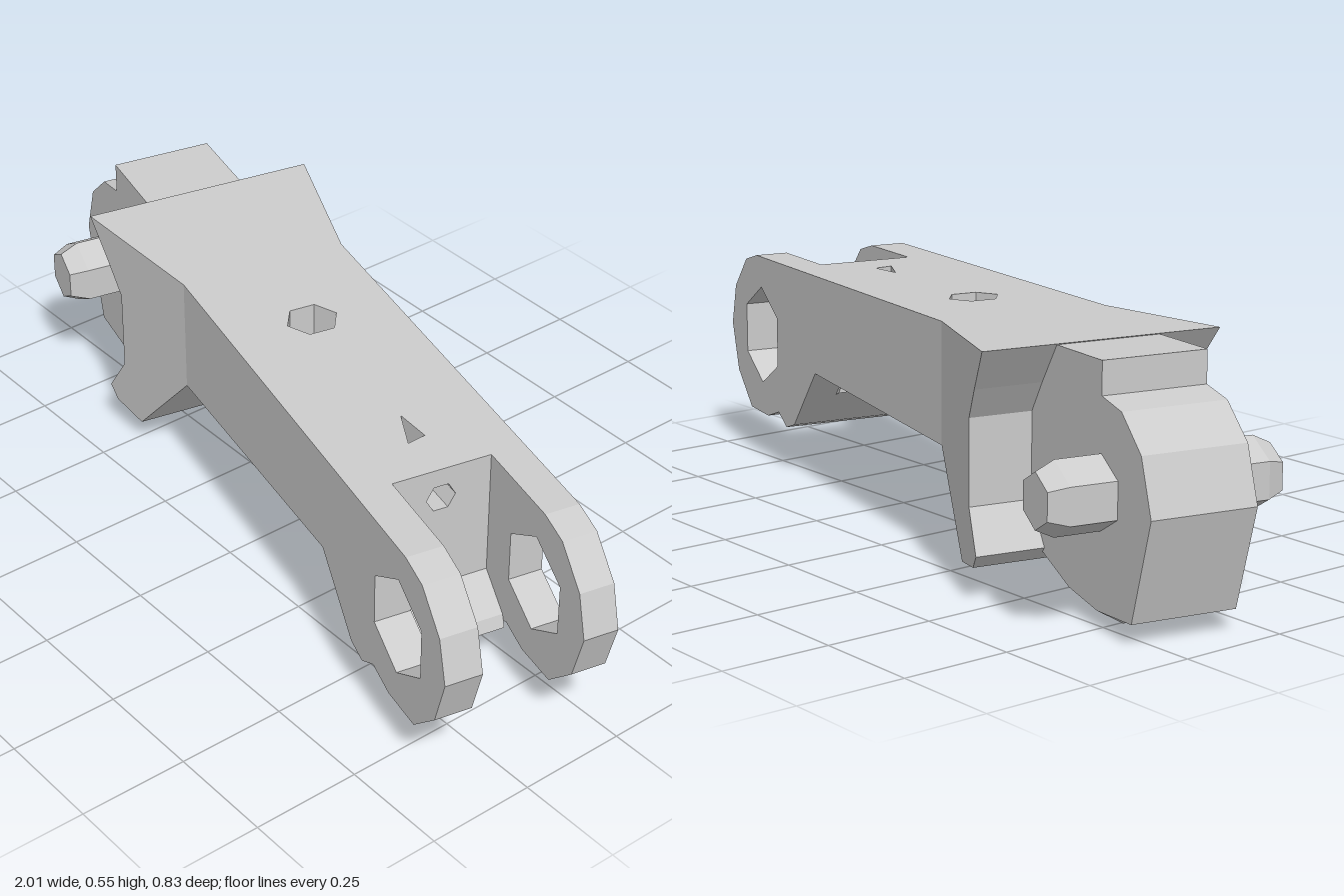
import * as THREE from 'three';

const material = new THREE.MeshStandardMaterial({ color: 0xcccccc, flatShading: true });

// Lengthwise rules of the arm: top line, underside line, half width
const CENTRE = 0.012, HALF = 0.198, JOINT = -0.245;
const top = (u) => 0.535 - 0.03 * u;
const under = (u) => 0.27 + 0.021 * (u - JOINT);
const flare = (u) => (u < JOINT ? 1 + (JOINT - u) * 1.12 : 1);

const vec = (pts) => pts.map(([x, y]) => new THREE.Vector2(x, y));
const ngon = (x, y, rx, ry, n, turn = 0) => Array.from({ length: n }, (_, i) => {
  const a = turn + (i / n) * Math.PI * 2;
  return [x + rx * Math.cos(a), y + ry * Math.sin(a)];
});

function extrude(pts, holes, depth, steps = 1) {
  const shape = new THREE.Shape(vec(pts));
  holes.forEach((h) => shape.holes.push(new THREE.Path(vec(h))));
  return new THREE.ExtrudeGeometry(shape, { depth, steps, bevelEnabled: false });
}

// Move every vertex by a rule
function warp(geo, rule) {
  const pos = geo.attributes.position, p = new THREE.Vector3();
  for (let i = 0; i < pos.count; i++) {
    p.fromBufferAttribute(pos, i);
    rule(p);
    pos.setXYZ(i, p.x, p.y, p.z);
  }
  geo.computeVertexNormals();
  return geo;
}

export function createModel() {
  const model = new THREE.Group();
  const arm = new THREE.Group();
  arm.name = 'arm';
  arm.rotation.y = -0.215;
  model.add(arm);

  const add = (name, geo) => {
    const mesh = new THREE.Mesh(geo, material);
    mesh.name = name;
    arm.add(mesh);
  };
  const widen = (p) => { p.z = CENTRE + (p.z - CENTRE) * flare(p.x); };

  // Middle beam, with a through hole and a small blind triangular hole
  const z0 = CENTRE - HALF, z1 = CENTRE + HALF;
  const beam = extrude(
    [[JOINT, -z1], [0.5, -z1], [0.5, -z0], [JOINT, -z0]],
    [ngon(0, -0.01, 0.058, 0.06, 6, Math.PI / 6), [[0.4, 0], [0.483, 0.013], [0.493, -0.031]]], 1);
  beam.rotateX(-Math.PI / 2);
  add('beam', warp(beam, (p) => { p.y = THREE.MathUtils.lerp(under(p.x), top(p.x), p.y); }));
  const floor = new THREE.BoxGeometry(0.11, 0.06, 0.08);
  add('blindHoleFloor', floor.translate(0.44, 0.4, 0));

  // Flared shoulder with a concave end round the hub
  const shoulder = extrude([
    [-0.6, top(-0.6)], [-0.535, 0.46], [-0.49, 0.39], [-0.49, 0.2], [-0.55, 0.11], [-0.525, 0.08],
    [-0.43, 0.065], [-0.46, 0.092], [-0.275, 0.297], [JOINT, 0.27], [JOINT, top(JOINT)],
  ], [], HALF * 2).translate(0, 0, z0);
  add('shoulder', warp(shoulder, widen));

  // Sloping underside plate of the shoulder, with its small hole
  const run = Math.hypot(0.185, 0.205), dx = 0.185 / run, dy = 0.205 / run;
  const plate = extrude(
    [[0, -HALF], [run, -HALF], [run, HALF], [0, HALF]],
    [ngon(0.11, 0, 0.026, 0.022, 5)], 0.0405);
  plate.applyMatrix4(new THREE.Matrix4().makeBasis(
    new THREE.Vector3(dx, dy, 0), new THREE.Vector3(0, 0, -1), new THREE.Vector3(-dy, dx, 0)));
  plate.translate(-0.43, 0.065, CENTRE);
  add('shoulderPlate', warp(plate, widen));

  // Hub, grooved along its underside
  const hubBack = -0.095, hubWidth = 0.24;
  const hub = extrude([
    [-0.79, 0.557], [-0.79, 0.485], [-0.87, 0.47], [-0.95, 0.4], [-0.992, 0.28], [-0.92, 0.05],
    [-0.78, 0.004], [-0.66, 0.02], [-0.54, 0.1], [-0.45, 0.22], [-0.45, 0.4], [-0.58, top(-0.58) - 0.002],
  ], [], hubWidth, 4);
  const lift = [0.035, 0, 0.06, 0, 0.035];
  warp(hub, (p) => {
    if (p.y < 0.04) p.y += lift[Math.round((p.z / hubWidth) * 4)];
    p.z += hubBack;
  });
  add('hub', hub);

  // Six-sided axle through the hub
  const axle = new THREE.LatheGeometry(vec([
    [0, -0.242], [0.06, -0.242], [0.08, -0.2], [0.08, 0.255], [0.06, 0.297], [0, 0.297],
  ]), 6);
  add('axle', axle.rotateX(Math.PI / 2).translate(-0.79, 0.288, 0));

  // Fork prongs with hexagonal eyes
  const prong = [
    [0.5, under(0.5)], [0.455, under(0.455)], [0.59, 0.13], [0.64, 0.113], [0.69, 0.14], [0.76, 0.116],
    [0.87, 0.116], [0.955, 0.195], [0.992, 0.31], [0.965, 0.41], [0.89, 0.49], [0.82, top(0.82)], [0.5, top(0.5)],
  ];
  [['rightProng', z0, 0.08], ['leftProng', 0.125, z1 - 0.125]].forEach(([name, z, depth]) => {
    add(name, extrude(prong, [ngon(0.792, 0.315, 0.115, 0.12, 6, Math.PI / 2)], depth).translate(0, 0, z));
  });

  // Web joining the prongs below
  const inner0 = z0 + 0.08, inner1 = 0.125;
  add('forkWeb', extrude([
    [0.5, under(0.5)], [0.455, under(0.455)], [0.59, 0.13], [0.64, 0.113], [0.685, 0.12],
    [0.675, 0.15], [0.6, 0.22], [0.5, 0.22],
  ], [], inner1 - inner0).translate(0, 0, inner0));

  // Wall at the root of the fork, with a blind hole
  const wall = extrude(
    [[-inner1, 0.22], [-inner0, 0.22], [-inner0, top(0.5)], [-inner1, top(0.5)]],
    [ngon(-0.01, 0.445, 0.034, 0.034, 6)], 0.1);
  wall.rotateY(Math.PI / 2).translate(0.5, 0, 0);
  add('forkWall', warp(wall, (p) => { if (p.y > 0.5) p.y = top(p.x); }));

  return model;
}
